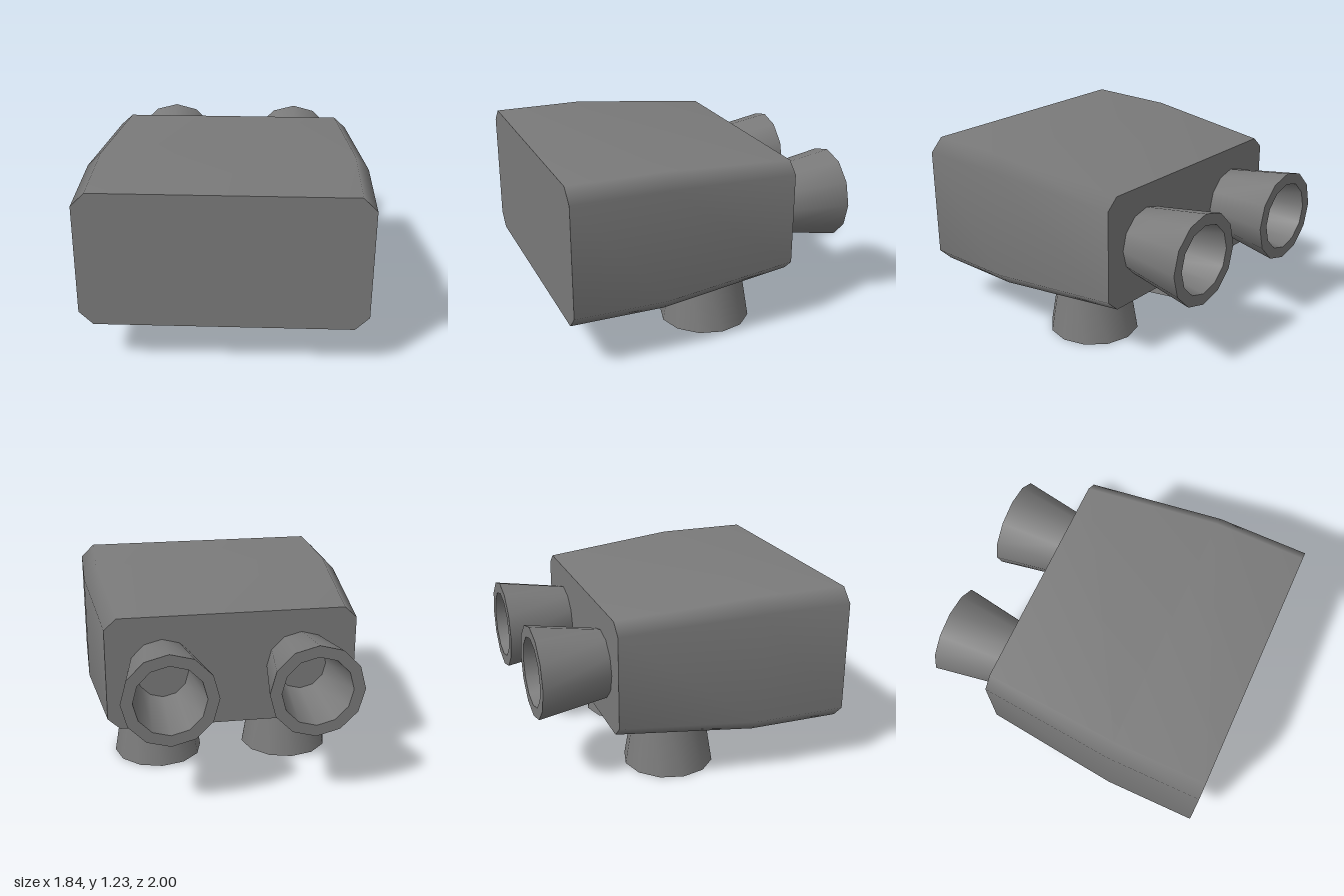
import * as THREE from 'three';
import { toCreasedNormals } from 'three/addons/utils/BufferGeometryUtils.js';

const CENTER_Y = 0.77;

// Chamfered rectangle, counter-clockwise seen from +z, scaled towards its centre
function section(z, sx, sy) {
  const w = 0.92, h = 0.46, c = 0.09;
  return [
    [w, -h + c], [w, h - c], [w - c, h], [-w + c, h],
    [-w, h - c], [-w, -h + c], [-w + c, -h], [w - c, -h],
  ].map(([x, y]) => [x * sx, CENTER_Y + y * sy, z]);
}

function geometryFrom(points, index) {
  const geometry = new THREE.BufferGeometry();
  geometry.setAttribute('position', new THREE.Float32BufferAttribute(points.flat(), 3));
  geometry.setIndex(index);
  geometry.computeVertexNormals();
  return geometry;
}

// Smooth skin running through the sections from front to back
function loft(sections) {
  const n = sections[0].length, index = [];
  for (let s = 0; s < sections.length - 1; s++) {
    for (let i = 0; i < n; i++) {
      const j = (i + 1) % n;
      const a = s * n + i, b = s * n + j, c = a + n, d = b + n;
      index.push(a, c, b, b, c, d);
    }
  }
  return geometryFrom(sections.flat(), index);
}

// Flat end plate
function cap(points, facesFront) {
  const index = [];
  for (let i = 1; i < points.length - 1; i++) {
    index.push(0, ...(facesFront ? [i, i + 1] : [i + 1, i]));
  }
  return geometryFrom(points, index);
}

export function createModel() {
  const group = new THREE.Group();
  const grey = new THREE.MeshStandardMaterial({ color: 0x7a7a7a });
  grey.name = 'hull grey';

  const add = (name, geometry) => {
    const mesh = new THREE.Mesh(geometry, grey);
    mesh.name = name;
    group.add(mesh);
    return mesh;
  };

  // Body: straight front half, tapering back half
  const sections = [section(1, 1, 1), section(0.38, 1, 1), section(-0.54, 0.9, 0.835)];
  add('bodySkin', loft(sections));
  add('bodyFront', cap(sections[0], true));
  add('bodyBack', cap(sections[2], false));

  // Hollow flared nozzle, rim at y = 0 and narrow end up
  const profile = [[0, 0.455], [0.17, 0.455], [0.23, 0], [0.306, 0], [0.23, 0.46]]
    .map(([r, y]) => new THREE.Vector2(r, y));
  const nozzle = toCreasedNormals(new THREE.LatheGeometry(profile, 12), 0.7);

  for (const [side, x] of [['left', 0.46], ['right', -0.46]]) {
    add(side + 'BottomNozzle', nozzle).position.set(x, 0, -0.075);
    const back = add(side + 'BackNozzle', nozzle);
    back.position.set(x, CENTER_Y, -1);
    back.rotation.x = Math.PI / 2;
  }
  return group;
}
